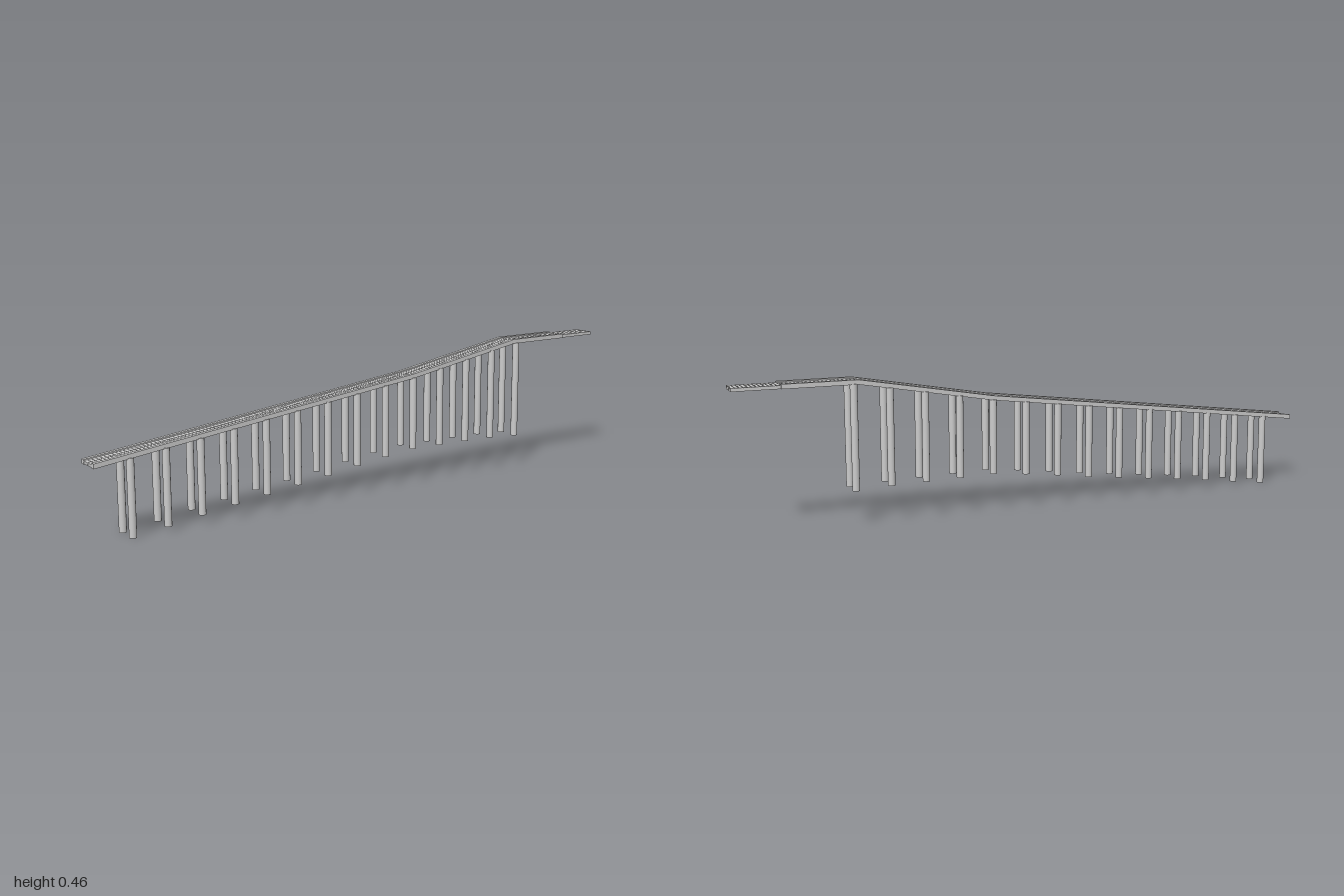
import * as THREE from 'three';

const grey = new THREE.MeshStandardMaterial({ color: 0xcccccc });

// Top line of the walkway: a ramp in two pitches, then a level landing
const path = [[-1, 0.237], [0.16, 0.379], [0.61, 0.457], [1, 0.457]];
const RAIL_END = 0.85;

function deckHeight(x) {
  let i = 0;
  while (i < path.length - 2 && x > path[i + 1][0]) i++;
  const [x0, y0] = path[i], [x1, y1] = path[i + 1];
  return y0 + (y1 - y0) * (x - x0) / (x1 - x0);
}

// Beam along x following the deck line, mitred where the pitch changes
function beam(name, x0, x1, z, width, top, bottom) {
  const xs = [x0, ...path.map(p => p[0]).filter(x => x > x0 && x < x1), x1];
  const shape = new THREE.Shape();
  xs.forEach((x, i) => shape[i ? 'lineTo' : 'moveTo'](x, deckHeight(x) + top));
  [...xs].reverse().forEach(x => shape.lineTo(x, deckHeight(x) + bottom));
  const geo = new THREE.ExtrudeGeometry(shape, { depth: width, bevelEnabled: false });
  geo.translate(0, 0, z - width / 2);
  const mesh = new THREE.Mesh(geo, grey);
  mesh.name = name;
  return mesh;
}

export function createModel() {
  const model = new THREE.Group();
  model.name = 'jetty';

  // Edge beams on both sides of the walkway
  for (const side of [1, -1]) {
    model.add(beam(side > 0 ? 'leftEdgeBeam' : 'rightEdgeBeam',
      -1, RAIL_END, side * 0.0345, 0.014, 0.004, -0.011));
  }

  // Lengthwise deck bearers
  const bearers = new THREE.Group();
  bearers.name = 'deckBearers';
  for (const side of [1, -1]) {
    for (const z of [0.006, 0.015, 0.024, 0.033]) {
      bearers.add(beam('bearer', -0.99, 1, side * z, 0.006, -0.001, -0.011));
    }
  }
  model.add(bearers);

  // Short cross slats in two rows, with a narrow slit between the rows
  const slats = new THREE.Group();
  slats.name = 'deckSlats';
  const pitch = 0.0125;
  for (let i = 0; i < path.length - 1; i++) {
    const [x0, y0] = path[i], [x1, y1] = path[i + 1];
    const length = Math.hypot(x1 - x0, y1 - y0);
    const count = Math.round(length / pitch);
    const slatGeo = new THREE.BoxGeometry(length / count * 0.86, 0.010, 0.035);
    for (const side of [1, -1]) {
      const row = new THREE.InstancedMesh(slatGeo, grey, 0);
      row.geometry.computeBoundingBox();
      for (let k = 0; k < count; k++) {
        const t = (k + 0.5) / count;
        const slat = new THREE.Mesh(slatGeo, grey);
        slat.name = 'slat';
        slat.position.set(x0 + (x1 - x0) * t, y0 + (y1 - y0) * t - 0.005, side * 0.0185);
        slat.rotation.z = Math.atan2(y1 - y0, x1 - x0);
        slats.add(slat);
      }
    }
  }
  model.add(slats);

  // Pairs of round piles, their feet following the sloping bed
  const feet = [0, 0.015, 0.031, 0.045, 0.058, 0.071, 0.084,
    0.1, 0.114, 0.125, 0.123, 0.121, 0.118, 0.111];
  const piles = new THREE.Group();
  piles.name = 'piles';
  feet.forEach((foot, i) => {
    const x = -0.883 + i * 0.116;
    const top = deckHeight(x) - 0.009;
    const geo = new THREE.CylinderGeometry(0.0118, 0.0118, top - foot, 16);
    for (const side of [1, -1]) {
      const pile = new THREE.Mesh(geo, grey);
      pile.name = side > 0 ? 'leftPile' : 'rightPile';
      pile.position.set(x, (top + foot) / 2, side * 0.0345);
      piles.add(pile);
    }
  });
  model.add(piles);

  return model;
}
